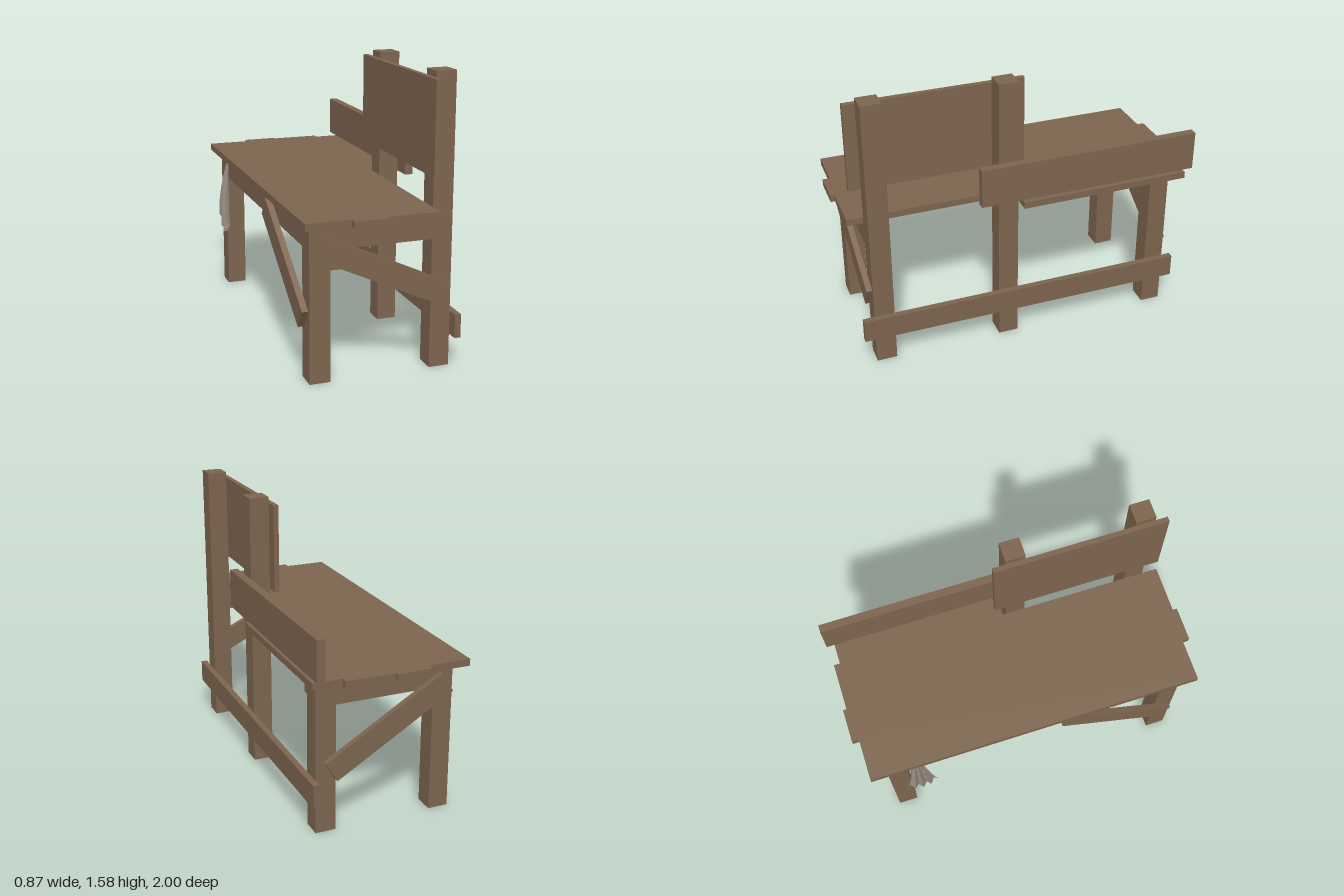
import * as THREE from 'three';

export function createModel() {
  const group = new THREE.Group();
  const wood = new THREE.MeshStandardMaterial({ color: 0x7c644e });
  wood.name = 'wood';
  const cloth = new THREE.MeshStandardMaterial({ color: 0x9c8f84, side: THREE.DoubleSide, flatShading: true });
  cloth.name = 'cloth';

  // Timber given by its extents along each axis
  function beam(name, [x0, x1], [y0, y1], [z0, z1]) {
    const mesh = new THREE.Mesh(new THREE.BoxGeometry(x1 - x0, y1 - y0, z1 - z0), wood);
    mesh.position.set((x0 + x1) / 2, (y0 + y1) / 2, (z0 + z1) / 2);
    mesh.name = name;
    group.add(mesh);
    return mesh;
  }

  const LEFT = [0.275, 0.387], RIGHT = [-0.39, -0.278];
  const FRONT = [0.772, 0.885], MIDDLE = [0.048, 0.16], BACK = [-0.867, -0.755];

  // Legs and tall posts
  beam('frontRightLeg', RIGHT, [0, 0.84], FRONT);
  beam('backRightLeg', RIGHT, [0, 0.84], BACK);
  beam('backLeftLeg', LEFT, [0, 0.84], BACK);
  beam('frontPost', LEFT, [0, 1.578], FRONT);
  beam('middlePost', LEFT, [0, 1.578], MIDDLE);

  // Rails under the top
  beam('frontRail', [RIGHT[1], LEFT[0]], [0.71, 0.84], FRONT);
  beam('backRail', [RIGHT[1], LEFT[0]], [0.71, 0.84], BACK);
  beam('sideRail', RIGHT, [0.71, 0.84], [BACK[1], FRONT[0]]);

  // Uneven top planks
  const planks = [
    [-0.437, -0.195, -0.96, 0.96],
    [-0.195, 0, -1, 1],
    [0, 0.275, -0.98, 0.975],
    [0.275, 0.435, -0.945, 0.03],
  ];
  for (const [x0, x1, z0, z1] of planks) beam('topPlank', [x0, x1], [0.842, 0.88], [z0, z1]);

  // Boards nailed to the posts
  beam('backPanel', [0.246, 0.275], [1.05, 1.545], [-0.025, 0.952]);
  beam('guardBoard', [0.387, 0.433], [0.897, 1.12], [-0.99, 0.272]);
  beam('lowerBoard', [0.387, 0.421], [0.175, 0.305], [-0.917, 0.952]);

  // Diagonal braces
  const L = 0.767 / 2, W = 0.063;
  const frontBrace = beam('frontBrace', [-L, L], [0.575 - W, 0.575 + W], [0.885, 0.917]);
  frontBrace.rotation.z = -0.437;
  const backBrace = beam('backBrace', [-0.018 - L, -0.018 + L], [0.546 - W, 0.546 + W], [-0.9, -0.867]);
  backBrace.rotation.z = -0.536;
  const sideBrace = beam('sideBrace', [-0.424, -0.39], [0.555 - W, 0.555 + W], [0.515 - L, 0.515 + L]);
  sideBrace.rotation.x = 0.595;

  // Hanging rag: gathered at the top, pleated and pointed at the bottom
  const rag = new THREE.PlaneGeometry(1, 1, 8, 4);
  const p = rag.attributes.position;
  for (let i = 0; i < p.count; i++) {
    const u = p.getX(i), t = 0.5 - p.getY(i);
    const pleat = Math.round((u + 0.5) * 8) % 2 ? 0.015 : 0.042;
    p.setXYZ(i,
      -0.393 - pleat * Math.sin(Math.min(t * 1.9, 2)),
      0.83 - t * (0.46 - 0.34 * u * u),
      -0.695 + u * (0.04 + 0.155 * t));
  }
  rag.computeVertexNormals();
  const ragMesh = new THREE.Mesh(rag, cloth);
  ragMesh.name = 'hangingRag';
  group.add(ragMesh);

  return group;
}
